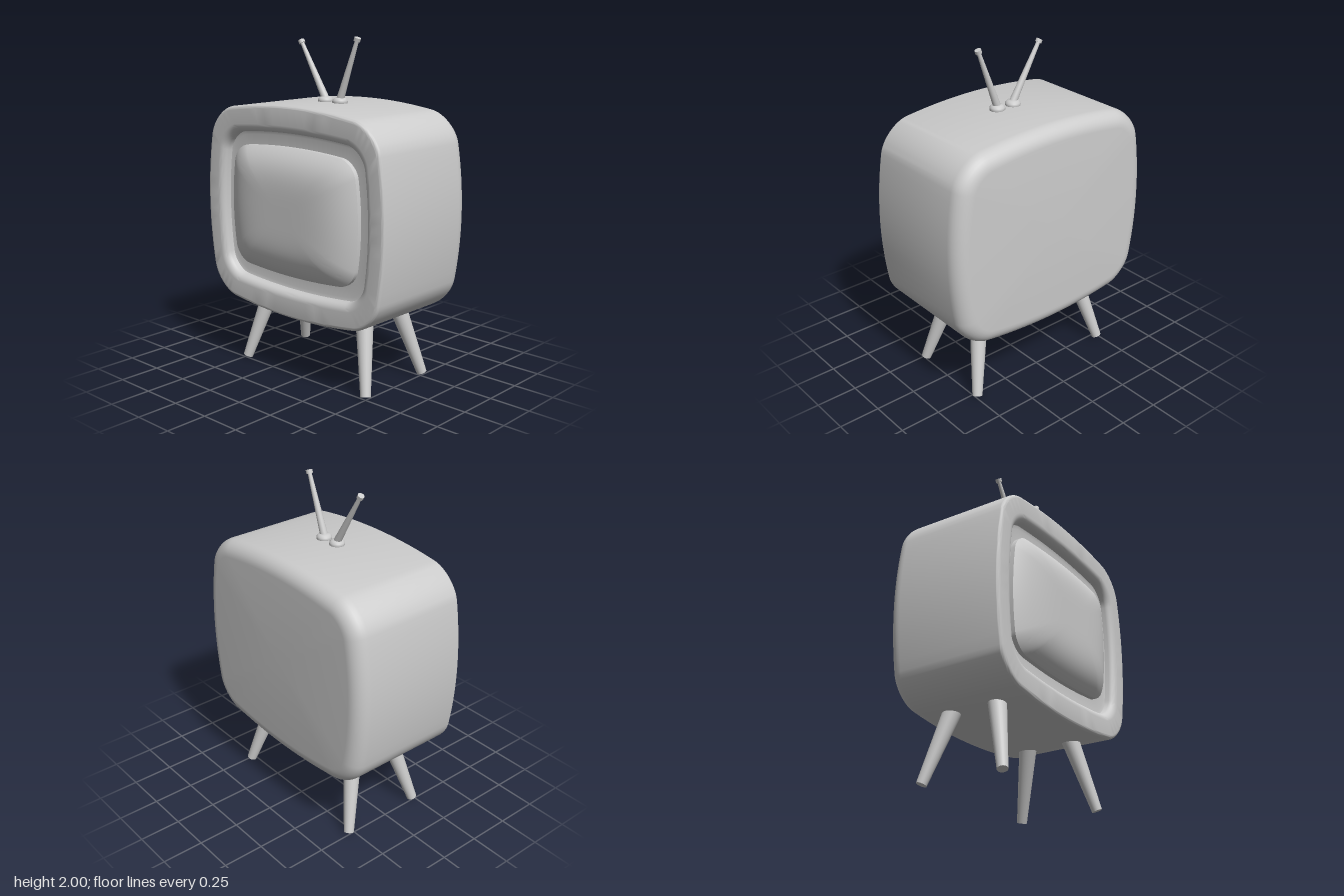
import * as THREE from 'three';
import { toCreasedNormals } from 'three/addons/utils/BufferGeometryUtils.js';

const material = new THREE.MeshStandardMaterial({ color: 0xcccccc, side: THREE.DoubleSide });

// Rounded rectangle with outward-bowed sides, counter-clockwise
function outline(w, h, r, bow) {
  const points = [];
  const corners = [[1, 1], [-1, 1], [-1, -1], [1, -1]];
  const arcSteps = 12, sideSteps = 14;
  const arcPoint = (c, a) => [
    corners[c][0] * (w - r) + r * Math.cos(a),
    corners[c][1] * (h - r) + r * Math.sin(a),
  ];
  for (let c = 0; c < 4; c++) {
    const start = c * Math.PI / 2, end = start + Math.PI / 2;
    for (let i = 0; i <= arcSteps; i++) points.push(arcPoint(c, start + (end - start) * i / arcSteps));
    const a = arcPoint(c, end), b = arcPoint((c + 1) % 4, end);
    for (let i = 1; i < sideSteps; i++) {
      const t = i / sideSteps;
      points.push([a[0] + (b[0] - a[0]) * t, a[1] + (b[1] - a[1]) * t]);
    }
  }
  return points.map(([x, y]) => [x * (1 - bow * (y / h) ** 2), y * (1 - bow * (x / w) ** 2)]);
}

// Skin over a list of rings, each { points, z, scale }
function loft(rings) {
  const positions = [], index = [], n = rings[0].points.length;
  for (const { points, z, scale = 1 } of rings)
    for (const [x, y] of points) positions.push(x * scale, y * scale, z);
  for (let k = 0; k < rings.length - 1; k++) {
    for (let i = 0; i < n; i++) {
      const a = k * n + i, b = k * n + (i + 1) % n;
      index.push(a, b, a + n, b, b + n, a + n);
    }
  }
  const geometry = new THREE.BufferGeometry();
  geometry.setAttribute('position', new THREE.Float32BufferAttribute(positions, 3));
  geometry.setIndex(index);
  return toCreasedNormals(geometry, 0.7);
}

function add(parent, name, geometry, x = 0, y = 0, z = 0) {
  const mesh = new THREE.Mesh(geometry, material);
  mesh.name = name;
  mesh.position.set(x, y, z);
  parent.add(mesh);
  return mesh;
}

// Tapered round bar between two points
function bar(parent, name, from, to, r0, r1) {
  const a = new THREE.Vector3(...from), b = new THREE.Vector3(...to);
  const dir = b.clone().sub(a);
  const mesh = add(parent, name, new THREE.CylinderGeometry(r1, r0, dir.length(), 28));
  mesh.position.copy(a).add(b).multiplyScalar(0.5);
  mesh.quaternion.setFromUnitVectors(new THREE.Vector3(0, 1, 0), dir.normalize());
  return mesh;
}

function cabinetGeometry() {
  const W = 0.7, H = 0.617, STEPS = 8;
  const shell = (inset) => outline(W - inset, H - inset, 0.17 - inset * 0.7, 0.1);
  const mouth = (inset) => outline(0.565 - inset, 0.458 - inset, 0.12 - inset * 0.5, 0.075);
  const rings = [{ points: shell(0.09), z: -0.405, scale: 0.001 }];
  // Soft back edge
  for (let i = 0; i <= STEPS; i++) {
    const a = i / STEPS * Math.PI / 2;
    rings.push({ points: shell(0.09 * (1 - Math.sin(a))), z: -0.315 - 0.09 * Math.cos(a) });
  }
  // Tight front edge
  for (let i = 0; i <= STEPS; i++) {
    const a = i / STEPS * Math.PI / 2;
    rings.push({ points: shell(0.022 * (1 - Math.cos(a))), z: 0.323 + 0.022 * Math.sin(a) });
  }
  // Rolled lip into the screen recess
  for (let i = 0; i <= STEPS; i++) {
    const a = i / STEPS * Math.PI / 2;
    rings.push({ points: mouth(-0.045 * (1 - Math.sin(a))), z: 0.3 + 0.045 * Math.cos(a) });
  }
  // Recess wall and floor
  rings.push({ points: mouth(0.002), z: 0.285 });
  rings.push({ points: mouth(0.02), z: 0.28 });
  rings.push({ points: mouth(0.1), z: 0.285 });
  rings.push({ points: mouth(0.1), z: 0.285, scale: 0.001 });
  return loft(rings);
}

function screenGeometry() {
  const points = outline(0.498, 0.377, 0.1, 0.075);
  const rings = [{ points, z: 0.27 }];
  const STEPS = 20;
  for (let i = 0; i <= STEPS; i++) {
    const s = Math.max(0.001, Math.sin((1 - i / STEPS) * Math.PI / 2));
    rings.push({ points, z: 0.31 + 0.095 * (1 - s ** 4.5), scale: s });
  }
  return loft(rings);
}

export function createModel() {
  const model = new THREE.Group();
  model.name = 'television';

  add(model, 'cabinet', cabinetGeometry(), 0, 1.007, 0);
  add(model, 'screen', screenGeometry(), -0.01, 1.008, 0);

  // Four splayed tapered legs
  for (const [side, sx] of [['left', 1], ['right', -1]]) {
    bar(model, side + 'FrontLeg', [sx * 0.375, 0.46, 0.12], [sx * 0.487, 0.012, 0.235], 0.054, 0.03);
    bar(model, side + 'BackLeg', [sx * 0.375, 0.46, -0.16], [sx * 0.487, 0.012, -0.28], 0.054, 0.03);
  }

  // Pair of antennas, each a domed foot, a rod and a tip
  const footProfile = [[0, -0.02], [0.042, -0.02], [0.045, 0.005], [0.043, 0.015], [0.034, 0.025], [0.018, 0.03], [0, 0.031]]
    .map(([x, y]) => new THREE.Vector2(x, y));
  const antennas = [
    { side: 'left', foot: 0.085, base: 0.082, tip: [0.215, 1.987] },
    { side: 'right', foot: -0.028, base: -0.022, tip: [-0.22, 1.962] },
  ];
  for (const { side, foot, base, tip } of antennas) {
    const antenna = new THREE.Group();
    antenna.name = side + 'Antenna';
    model.add(antenna);
    add(antenna, 'antennaFoot', new THREE.LatheGeometry(footProfile, 32), foot, 1.624, 0.012);
    const start = new THREE.Vector3(base, 1.63, 0.012), end = new THREE.Vector3(...tip, 0.012);
    const dir = end.clone().sub(start).normalize();
    bar(antenna, 'antennaRod', start.toArray(), end.toArray(), 0.023, 0.011);
    const back = end.clone().addScaledVector(dir, -0.014), front = end.clone().addScaledVector(dir, 0.007);
    bar(antenna, 'antennaTip', back.toArray(), front.toArray(), 0.019, 0.019);
  }
  return model;
}
